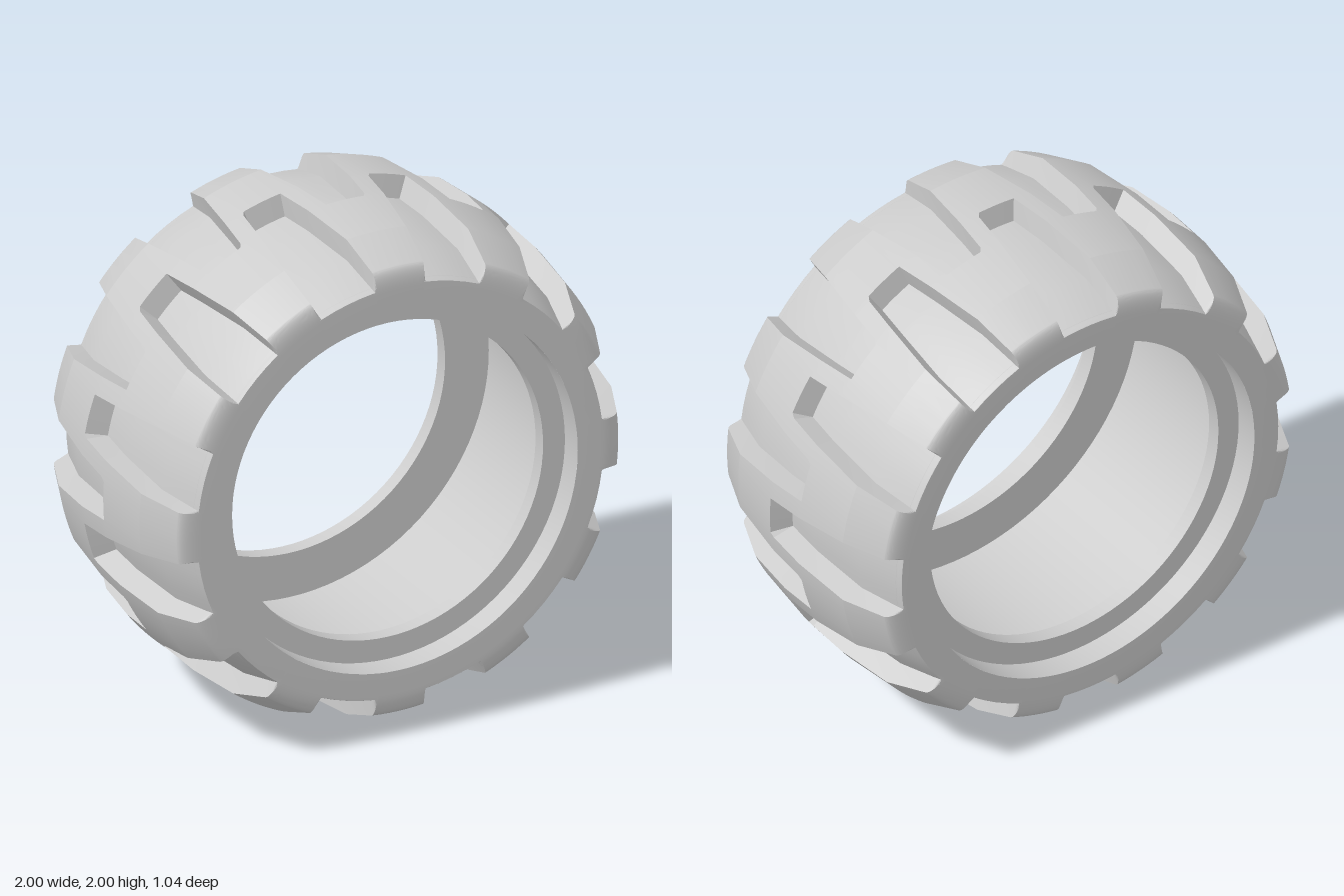
import * as THREE from 'three';
import { toCreasedNormals } from 'three/addons/utils/BufferGeometryUtils.js';

const DEG = Math.PI / 180;
const HALF_WIDTH = 0.522;   // half the tyre width
const PAIRS = 12;           // grooves on each side
const STEP = 180 / PAIRS;   // angle between a rear groove and the next front one

// One side of the tread profile, centre to bead: [z, lug radius, groove floor radius]
function sideProfile() {
  const rows = [[0.07, 1, 0.914], [0.09, 1, 0.913], [0.33, 0.975, 0.89]];
  const shoulder = new THREE.QuadraticBezierCurve(
    new THREE.Vector2(0.495, 0.9105), new THREE.Vector2(HALF_WIDTH, 0.9), new THREE.Vector2(HALF_WIDTH, 0.82));
  const steps = 12;
  for (let i = 0; i <= steps; i++) {   // rounded shoulder, cut by the groove floors
    const t = i / steps, p = shoulder.getPoint(t ** 1.5);
    rows.push([p.x, p.y, Math.min(p.y, 0.845 - 0.01 * t)]);
  }
  rows.push([HALF_WIDTH, 0.73, 0.73]);   // flat sidewall
  return rows;
}

// Half angle of a groove at s, the distance towards its own side
function grooveHalfAngle(s) {
  const { clamp, mapLinear } = THREE.MathUtils;
  if (s < 0.33) return mapLinear(clamp(s, -0.09, 0.33), -0.09, 0.33, 4.75, 7.8);
  return mapLinear(clamp(s, 0.33, HALF_WIDTH), 0.33, HALF_WIDTH, 7.8, 8.45);
}

// Angles and floor flags of all columns around the tyre at height z of the axis
function columnsAt(z) {
  const cols = [];
  const floorParts = 4, lugParts = 4, slope = 0.6;
  for (let k = 0; k < PAIRS * 2; k++) {
    const s = k % 2 ? z : -z;   // odd grooves open to the front, even to the back
    const centre = k * STEP;
    const w = grooveHalfAngle(s), next = STEP - grooveHalfAngle(-s);
    const sunk = s > -0.08;
    cols.push([centre - w, false]);
    for (let i = 0; i <= floorParts; i++) {
      cols.push([centre + (w - slope) * (2 * i / floorParts - 1), sunk]);
    }
    for (let i = 0; i < lugParts; i++) {
      cols.push([centre + w + (next - w) * i / lugParts, false]);
    }
  }
  return cols;
}

// Tread and sidewalls as one skin with alternating tapered grooves
function treadGeometry() {
  const side = sideProfile();
  const rows = [...side.map(([z, a, b]) => [-z, a, b]).reverse(), ...side];
  const positions = [], index = [];
  let n = 0;
  rows.forEach(([z, lug, floor]) => {
    const cols = columnsAt(z);
    n = cols.length;
    for (const [angle, sunk] of cols) {
      const r = sunk ? floor : lug;
      positions.push(r * Math.cos(angle * DEG), r * Math.sin(angle * DEG), z);
    }
  });
  for (let i = 0; i < rows.length - 1; i++) {
    for (let j = 0; j < n; j++) {
      const a = i * n + j, b = i * n + (j + 1) % n;
      index.push(a, b, b + n, a, b + n, a + n);
    }
  }
  const geometry = new THREE.BufferGeometry();
  geometry.setAttribute('position', new THREE.Float32BufferAttribute(positions, 3));
  geometry.setIndex(index);
  return toCreasedNormals(geometry, 0.22);
}

// Bead recesses, thin lips and the wide hollow inside
function innerGeometry() {
  const half = [[0.73, HALF_WIDTH], [0.73, 0.42], [0.64, 0.42], [0.64, 0.36], [0.82, 0.36]];
  const points = [...half, ...half.map(([r, z]) => [r, -z]).reverse()]
    .map(([r, z]) => new THREE.Vector2(r, z));
  const geometry = new THREE.LatheGeometry(points, 96);
  geometry.rotateX(Math.PI / 2);
  return toCreasedNormals(geometry, 0.5);
}

export function createModel() {
  const group = new THREE.Group();
  group.name = 'tyre';
  const rubber = new THREE.MeshStandardMaterial({ color: 0xcccccc });
  const add = (name, geometry) => {
    const mesh = new THREE.Mesh(geometry, rubber);
    mesh.name = name;
    mesh.position.y = 1;
    group.add(mesh);
  };
  add('treadAndSidewalls', treadGeometry());
  add('innerLiningAndBeads', innerGeometry());
  return group;
}
